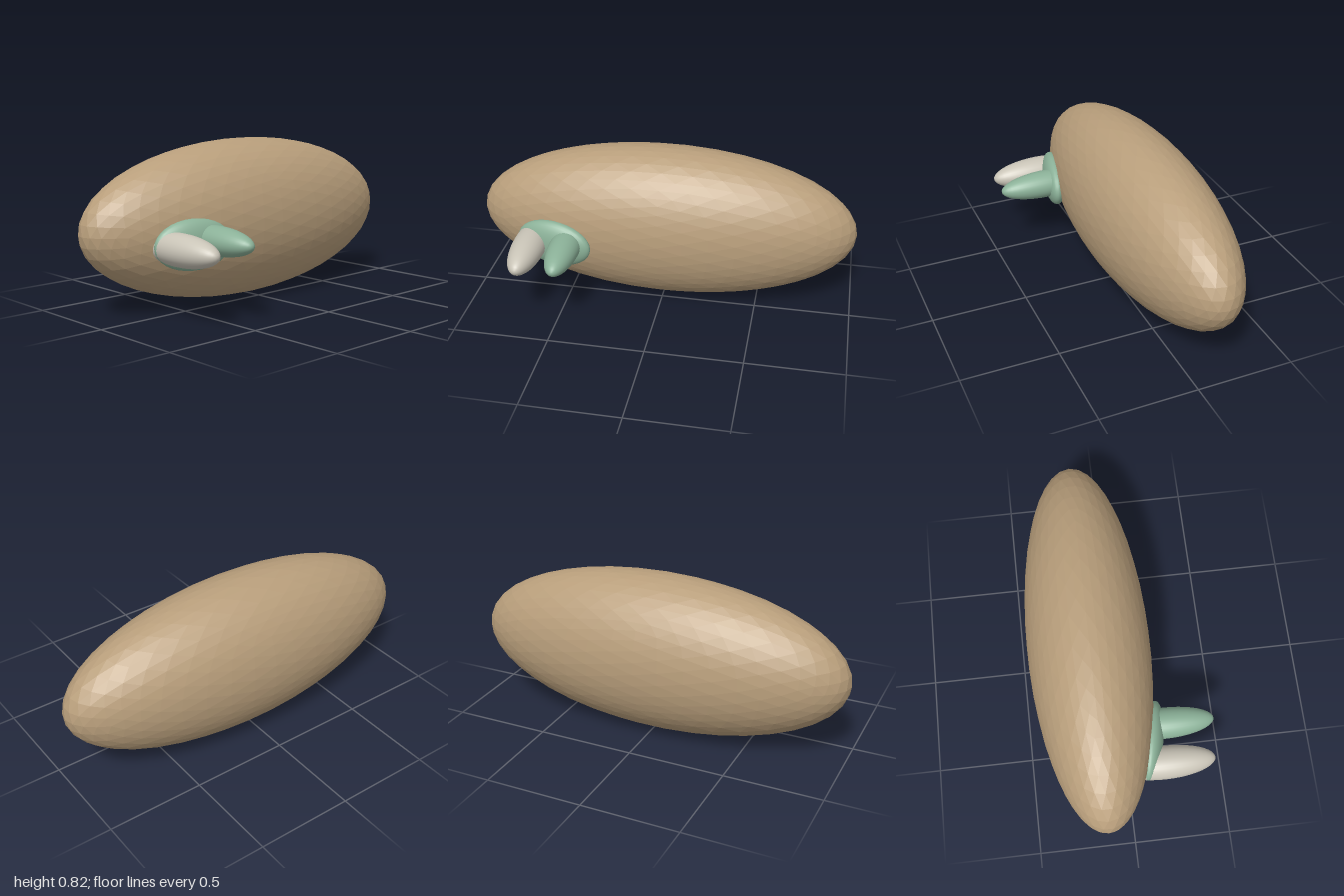
import * as THREE from 'three';

function material(name, color, flatShading = false) {
  const m = new THREE.MeshStandardMaterial({ color, flatShading });
  m.name = name;
  return m;
}

// Ellipsoid from a unit sphere geometry
function ellipsoid(name, geometry, mat, position, radii) {
  const mesh = new THREE.Mesh(geometry, mat);
  mesh.name = name;
  mesh.position.set(...position);
  mesh.scale.set(...radii);
  return mesh;
}

export function createModel() {
  const group = new THREE.Group();
  group.name = 'model';

  const tan = material('tan', 0xb89e7b, true);
  const green = material('sage green', 0x8bb198);
  const grey = material('warm grey', 0xc9c4b7);

  // Faceted sphere for the body, smooth spheres with poles along z for the rest
  const faceted = new THREE.IcosahedronGeometry(1, 7);
  const smooth = new THREE.SphereGeometry(1, 32, 20).rotateX(Math.PI / 2);

  // Large long body
  group.add(ellipsoid('body', faceted, tan, [0, 0.415, -0.137], [1, 0.412, 0.319]));

  // Flat pad lying along the curve of the body
  const pad = ellipsoid('pad', smooth, green, [-0.55, 0.36, 0.13], [0.207, 0.126, 0.06]);
  pad.rotation.y = -0.21;
  group.add(pad);

  // Two forward-pointing prongs
  group.add(ellipsoid('outerProng', smooth, grey, [-0.67, 0.355, 0.18], [0.085, 0.08, 0.26]));
  group.add(ellipsoid('innerProng', smooth, green, [-0.473, 0.38, 0.205], [0.08, 0.073, 0.252]));

  return group;
}
